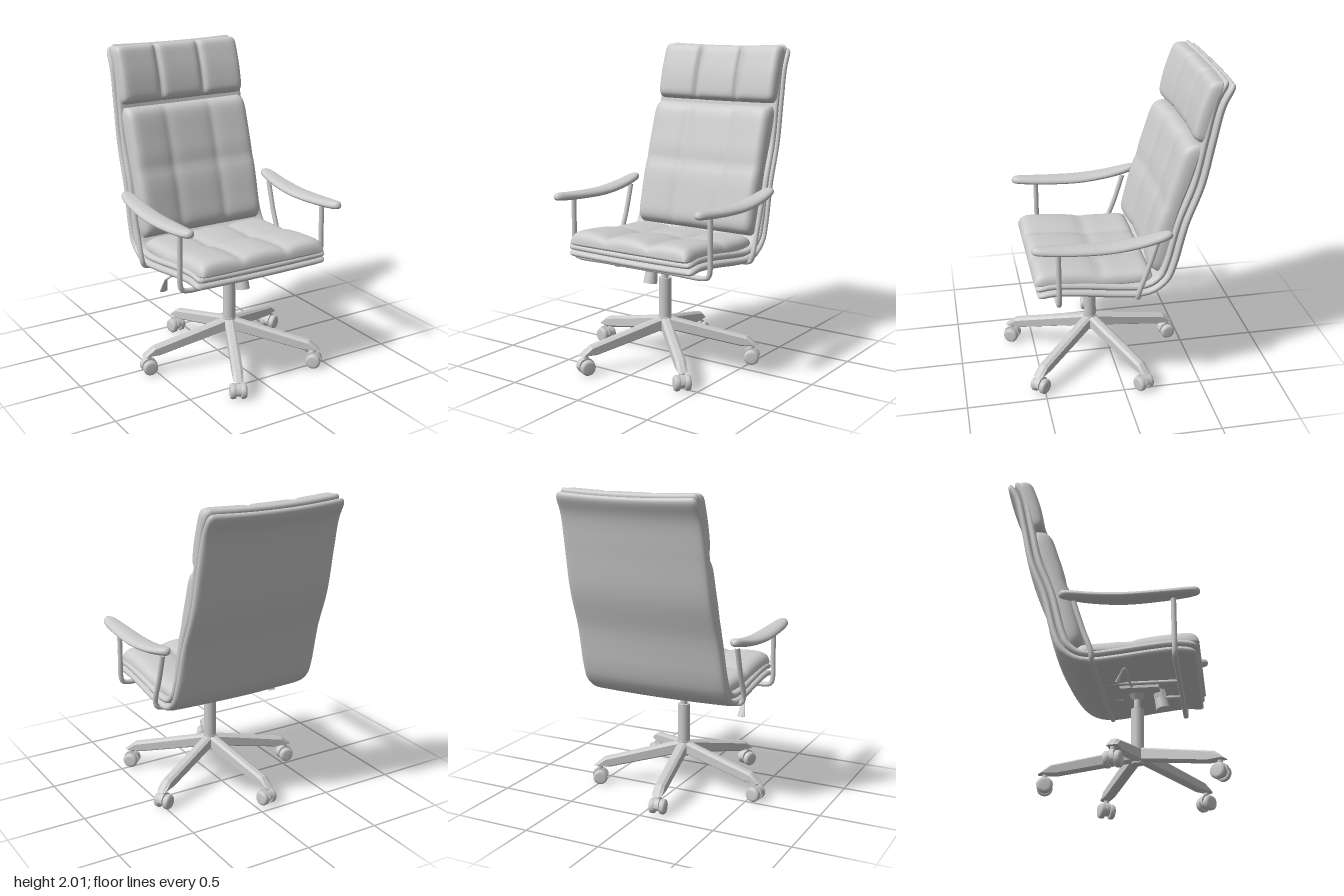
import * as THREE from 'three';

const grey = new THREE.MeshStandardMaterial({ color: 0xcccccc });
const CX = 0.008, CZ = 0.135; // column axis

function add(parent, geometry, name, x = 0, y = 0, z = 0) {
  const mesh = new THREE.Mesh(geometry, grey);
  mesh.name = name;
  mesh.position.set(x, y, z);
  parent.add(mesh);
  return mesh;
}

const pathZY = (pts) => new THREE.CatmullRomCurve3(pts.map(([z, y]) => new THREE.Vector3(0, y, z)));

// Padded slab swept along a side-view path: u runs across, v along, both -1..1.
// front/back are the thicknesses on either side, p and q set how tight the edges round.
function slab(path, { width, front, back, offset = 0, p = 24, q = 24, corner = 0.05, nu = 72, nv = 40, quilt = () => 1 }) {
  const pos = [], index = [], ring = 2 * (nu + 1);
  for (let j = 0; j <= nv; j++) {
    const v = Math.sin((j / nv - 0.5) * Math.PI), s = (v + 1) / 2;
    const c = path.getPointAt(s), t = path.getTangentAt(s);
    const ny = -t.z, nz = t.y;
    const w = width(v) * (1 - corner * Math.abs(v) ** q);
    const endRound = Math.max(0, 1 - Math.abs(v) ** q);
    for (let k = 0; k < ring; k++) {
      const isFront = k <= nu;
      const i = isFront ? k : ring - 1 - k;
      const u = Math.sin((i / nu - 0.5) * Math.PI);
      const e = Math.sqrt(Math.max(0, 1 - Math.abs(u) ** p) * endRound);
      const bow = 0.03 * u * u * Math.max(0, t.y);
      const h = offset + bow + (isFront ? front * e * quilt(u * w, c) : -back * e);
      pos.push(u * w, c.y + ny * h, c.z + nz * h);
    }
  }
  for (let j = 0; j < nv; j++) {
    for (let k = 0; k < ring; k++) {
      const a = j * ring + k, b = j * ring + (k + 1) % ring;
      index.push(a, b, a + ring, b, b + ring, a + ring);
    }
  }
  const g = new THREE.BufferGeometry();
  g.setAttribute('position', new THREE.Float32BufferAttribute(pos, 3));
  g.setIndex(index);
  g.computeVertexNormals();
  return g;
}

const crease = (d, w) => Math.exp(-Math.abs(d) / w);

function tube(points, radius, segments = 60) {
  const curve = new THREE.CatmullRomCurve3(points.map((a) => new THREE.Vector3(...a)));
  return new THREE.TubeGeometry(curve, segments, radius, 12);
}

function buildUpholstery(chair) {
  // Two-layer shell from the seat front to the top of the back
  const shell = pathZY([[0.535, 0.735], [0.42, 0.757], [0.25, 0.745], [0.05, 0.72], [-0.1, 0.71],
    [-0.2, 0.73], [-0.275, 0.79], [-0.32, 0.9], [-0.35, 1.02], [-0.385, 1.15], [-0.475, 1.39],
    [-0.535, 1.66], [-0.585, 1.87], [-0.645, 1.985]]);
  const width = (v) => (v < -0.2 ? 0.498 - 0.025 * (-0.2 - v) / 0.8 : 0.498 - 0.04 * (v + 0.2) / 1.2);
  const layer = { width, front: 0.022, back: 0.022, p: 40, q: 70, nu: 40, nv: 80 };
  add(chair, slab(shell, { ...layer, offset: -0.023 }), 'outerShell', CX);
  add(chair, slab(shell, { ...layer, offset: 0.022, width: (v) => width(v) - 0.008 }), 'innerShell', CX);

  // Seat cushion, three columns by two rows
  add(chair, slab(pathZY([[0.55, 0.795], [0.35, 0.785], [0.1, 0.765], [-0.19, 0.765]]), {
    width: () => 0.455, front: 0.083, back: 0.02, p: 14, q: 16,
    quilt: (x, c) => (1 - 0.33 * (crease(Math.abs(x) - 0.16, 0.05) + 0.7 * crease(c.z - 0.14, 0.05)))
      * (1 - 0.2 * THREE.MathUtils.smoothstep(-c.z, -0.2, 0.1)),
  }), 'seatCushion', CX);

  // Back cushion
  add(chair, slab(pathZY([[-0.25, 0.8], [-0.29, 0.95], [-0.35, 1.2], [-0.42, 1.4], [-0.485, 1.61]]), {
    width: () => 0.452, front: 0.1, back: 0.02, p: 18, q: 14,
    quilt: (x, c) => 1 - 0.17 * crease(Math.abs(x) - 0.165, 0.04) - 0.2 * crease(c.y - 1.22, 0.06),
  }), 'backCushion', CX);

  // Headrest, three panels with deep seams
  add(chair, slab(pathZY([[-0.5, 1.63], [-0.535, 1.8], [-0.6, 1.99]]), {
    width: () => 0.455, front: 0.078, back: 0.02, p: 24, q: 10, nu: 110,
    quilt: (x) => 1 - 0.5 * crease(Math.abs(x) - 0.157, 0.014),
  }), 'headrest', CX);
}

function buildArms(chair) {
  const armPath = pathZY([[0.57, 1.075], [0.35, 1.058], [0.1, 1.052], [-0.1, 1.07], [-0.28, 1.105]]);
  const pad = slab(armPath, {
    width: (v) => 0.065 * (1 - 0.35 * v * v) * Math.sqrt(Math.max(0, 1 - Math.abs(v) ** 14)),
    front: 0.03, back: 0.02, p: 2.5, q: 40, corner: 0, nu: 20, nv: 40,
  });
  for (const [side, name] of [[1, 'leftArmrest'], [-1, 'rightArmrest']]) {
    add(chair, pad, name, CX + side * 0.53).rotation.z = 0;
  }
  // U-shaped tubes: post, under the seat, post
  for (const [name, zTop, zLow] of [['frontArmFrame', 0.41, 0.41], ['rearArmFrame', -0.19, -0.08]]) {
    const half = [[0.517, 1.06, zTop], [0.517, 0.88, (zTop + zLow) / 2], [0.517, 0.72, zLow],
      [0.505, 0.685, zLow], [0.47, 0.673, zLow], [0.25, 0.673, zLow]];
    const other = half.map(([x, y, z]) => [-x, y, z]).reverse();
    add(chair, tube([...half, ...other], 0.016, 120), name, CX);
  }
  // Rails joining the cross tubes
  for (const x of [-0.13, 0.13]) {
    add(chair, tube([[x, 0.673, 0.41], [x, 0.673, 0.16], [x, 0.673, -0.08]], 0.012, 8), 'seatRail', CX);
  }
}

function buildMechanism(chair) {
  add(chair, new THREE.BoxGeometry(0.25, 0.03, 0.24), 'mechanismPlate', CX, 0.66, 0.16);
  add(chair, new THREE.CylinderGeometry(0.055, 0.03, 0.04, 24), 'columnSocket', CX, 0.632, CZ);
  add(chair, new THREE.CylinderGeometry(0.022, 0.022, 0.12, 24), 'gasRod', CX, 0.585, CZ);
  add(chair, new THREE.CylinderGeometry(0.04, 0.04, 0.3, 32), 'column', CX, 0.4, CZ);

  // Tension knob, tilted forward
  const knob = new THREE.Group();
  knob.name = 'tensionKnob';
  knob.position.set(CX, 0.6, 0.285);
  knob.rotation.x = -0.2;
  add(knob, new THREE.CylinderGeometry(0.038, 0.044, 0.07, 24), 'knobGrip', 0, -0.02, 0);
  add(knob, new THREE.CylinderGeometry(0.034, 0.034, 0.06, 24), 'knobNeck', 0, 0.04, 0);
  for (let i = 0; i < 12; i++) {
    const a = i * Math.PI / 6;
    add(knob, new THREE.BoxGeometry(0.008, 0.055, 0.008), 'knobRib', 0.034 * Math.sin(a), 0.04, 0.034 * Math.cos(a)).rotation.y = a;
  }
  chair.add(knob);

  // Height lever with a flat paddle
  add(chair, tube([[0, 0.655, 0.12], [-0.2, 0.655, 0.11], [-0.4, 0.652, 0.105], [-0.435, 0.63, 0.095]], 0.008, 24), 'leverRod');
  const paddle = add(chair, new THREE.CylinderGeometry(0.01, 0.028, 0.1, 20), 'leverPaddle', -0.435, 0.59, 0.08);
  paddle.scale.z = 0.35;
  paddle.rotation.x = 0.4;
}

function buildCaster() {
  const caster = new THREE.Group();
  caster.name = 'caster';
  const tyre = [[0, -0.019], [0.04, -0.019], [0.048, -0.012], [0.048, 0.008], [0.042, 0.017], [0.03, 0.02], [0, 0.02]]
    .map(([r, y]) => new THREE.Vector2(r, y));
  for (const s of [-1, 1]) {
    const wheel = add(caster, new THREE.LatheGeometry(tyre, 28), 'wheel', s * 0.033, 0.048, 0);
    wheel.rotation.z = -s * Math.PI / 2;
  }
  add(caster, new THREE.CylinderGeometry(0.038, 0.038, 0.04, 24), 'casterBody', 0, 0.054, 0).rotation.z = Math.PI / 2;
  // Hood over the wheels
  const hood = add(caster, new THREE.CylinderGeometry(0.052, 0.052, 0.06, 20, 1, false, 0, Math.PI), 'hood', 0, 0.052, 0);
  hood.rotation.set(0, 0, Math.PI / 2);
  hood.scale.y = 0.5;
  add(caster, new THREE.CylinderGeometry(0.016, 0.016, 0.05, 16), 'stem', 0, 0.105, 0);
  return caster;
}

function buildBase(chair) {
  const base = new THREE.Group();
  base.name = 'starBase';
  base.position.set(CX, 0, CZ);
  add(base, new THREE.CylinderGeometry(0.045, 0.04, 0.1, 32), 'hub', 0, 0.245, 0);

  // Leg side profile, extruded with a bevel
  const profile = new THREE.Shape([[0, 0.285], [0.03, 0.28], [0.525, 0.167], [0.585, 0.125], [0.49, 0.127], [0.05, 0.215], [0, 0.215]]
    .map(([r, y]) => new THREE.Vector2(r, y)));
  const leg = new THREE.ExtrudeGeometry(profile, {
    depth: 0.03, bevelEnabled: true, bevelThickness: 0.018, bevelSize: 0.012, bevelSegments: 1,
  });
  leg.translate(0, 0, -0.015);
  leg.rotateY(-Math.PI / 2);
  for (let i = 0; i < 5; i++) {
    const arm = new THREE.Group();
    arm.name = 'baseArm';
    arm.rotation.y = THREE.MathUtils.degToRad(-26.3 + 72 * i);
    add(arm, leg, 'leg');
    const caster = buildCaster();
    caster.position.z = 0.56;
    arm.add(caster);
    base.add(arm);
  }
  chair.add(base);
}

export function createModel() {
  const chair = new THREE.Group();
  chair.name = 'officeChair';
  buildUpholstery(chair);
  buildArms(chair);
  buildMechanism(chair);
  buildBase(chair);
  return chair;
}
